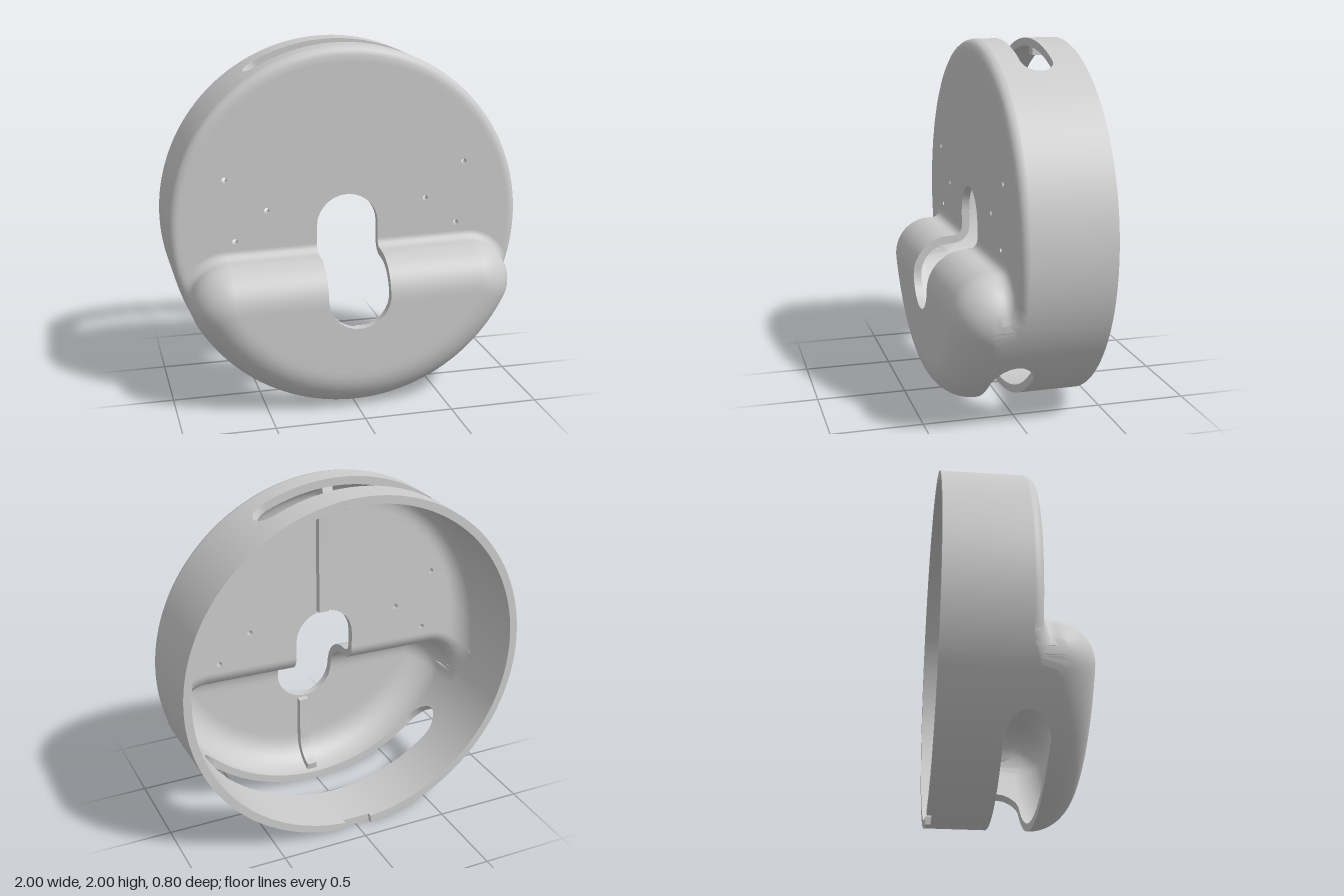
import * as THREE from 'three';
import { toCreasedNormals } from 'three/addons/utils/BufferGeometryUtils.js';

const clamp = THREE.MathUtils.clamp;
const material = new THREE.MeshStandardMaterial({ color: 0xcccccc, side: THREE.DoubleSide });
const BACK = -0.4, CORE = 0.78;

// Outer and inner skins of the shell: radius, bulge rounding, plate height, rim rounding, cove
const outer = { rad: 1, R: 0.22, plate: 0.11, rim: 0.05, cove: 0.05 };
const inner = { rad: 0.955, R: 0.175, plate: 0.065, rim: 0.12, cove: 0.095 };

// Upright round-ended openings in the front: central opening and screw holes
const holes = [
  { x: -0.004, y0: 0.665, y1: 1.005, r: 0.175, n: 14 },
  ...[[-0.69, 1.3], [-0.46, 1.115], [-0.64, 0.95], [0.45, 1.13], [0.675, 1.33], [0.635, 0.975]]
    .map(([x, y]) => ({ x, y0: y, y1: y, r: 0.015, n: 6 })),
];
// Long slots in the round wall
const topSlot = { c: -0.0225, half: 0.5125, z: -0.148, hw: 0.0875 };
const bottomSlot = { c: 0.01, half: 0.77, z: 0.058, hw: 0.117 };

// Flat core of the bulge is a disc cut off by a slightly tilted chord
const chordX = (x) => clamp(x, -0.684, 0.699);
const chordY = (x) => 0.64 + 0.02 * x;
function coreDistance(x, y) {
  const r = Math.hypot(x, y - 1);
  if (r <= CORE && y <= chordY(x)) return 0;
  const k = CORE / Math.max(r, 1e-9), qx = x * k, qy = 1 + (y - 1) * k;
  if (r > CORE && qy <= chordY(qx)) return r - CORE;
  const cx = chordX(x);
  return Math.hypot(x - cx, y - chordY(cx));
}

// Front height of a skin: plate with rounded rim, bulge with rounded edge and a cove at its foot
function height(s, x, y) {
  const r = Math.hypot(x, y - 1), over = Math.max(0, r - (s.rad - s.rim));
  const z = s.plate - s.rim + Math.sqrt(Math.max(0, s.rim ** 2 - over ** 2));
  const e = coreDistance(x, y);
  if (e <= s.R + 1e-6) return Math.max(z, 0.18 + Math.sqrt(Math.max(0, s.R ** 2 - e ** 2)));
  const g = s.cove - (e - s.R);
  return g > 0 ? z + s.cove - Math.sqrt(Math.max(0, s.cove ** 2 - g * g)) : z;
}

// Half height of a round-ended opening at x, or -1 outside it
function roundEnd(d, straight, r) {
  const over = Math.abs(d) - straight;
  if (over > r + 1e-6) return -1;
  return over <= 0 ? r : Math.sqrt(Math.max(0, r * r - over * over));
}

// Column angles, with extra columns on the edges of every opening
function columnAngles() {
  const list = [];
  for (let i = 0; i <= 110; i++) list.push(-Math.PI / 2 + Math.PI * i / 110);
  for (const s of [outer, inner]) {
    for (const h of holes) {
      for (let j = 0; j <= h.n; j++) list.push(Math.asin((h.x + h.r * Math.cos(Math.PI * j / h.n)) / s.rad));
    }
    list.push(Math.asin((0.699 + s.R) / s.rad), Math.asin((-0.684 - s.R) / s.rad));
  }
  for (const t of [topSlot, bottomSlot]) {
    for (const side of [-1, 1]) for (let j = 0; j <= 5; j++) {
      list.push(Math.asin(t.c + side * (t.half - t.hw + t.hw * Math.cos(Math.PI * j / 10))));
    }
  }
  list.push(Math.asin(-0.085), Math.asin(-0.084), Math.asin(0.084), Math.asin(0.085));
  list.sort((a, b) => a - b);
  return list.filter((a, i) => i === 0 || a - list[i - 1] > 1e-6);
}

// Collects quads and turns them into one mesh with creased smooth normals
class Skin {
  constructor() { this.p = []; }
  tri(a, b, c) {
    const u = new THREE.Vector3(...b).sub(new THREE.Vector3(...a));
    const v = new THREE.Vector3(...c).sub(new THREE.Vector3(...a));
    if (u.cross(v).length() > 1e-10) this.p.push(...a, ...b, ...c);
  }
  quad(a, b, c, d, flip) {
    if (flip) [b, d] = [d, b];
    this.tri(a, b, c);
    this.tri(a, c, d);
  }
  mesh(name) {
    const g = new THREE.BufferGeometry();
    g.setAttribute('position', new THREE.Float32BufferAttribute(this.p, 3));
    g.scale(1000, 1000, 1000);
    const out = toCreasedNormals(g, 0.6);
    out.scale(0.001, 0.001, 0.001);
    const m = new THREE.Mesh(out, material);
    m.name = name;
    return m;
  }
}

// Row heights of one column, dense at the edge of the disc and of the bulge
function rows(s, x) {
  const h = Math.sqrt(Math.max(0, s.rad ** 2 - x * x)), yb = 1 - h, yt = 1 + h;
  const cx = chordX(x), rise = (R) => Math.sqrt(Math.max(0, R * R - (x - cx) ** 2));
  const top = clamp(chordY(cx) + rise(s.R), yb, yt);
  const foot = clamp(chordY(cx) + rise(s.R + s.cove), yb, yt);
  const start = Math.min(top + 1e-4, foot), ys = [];
  const ease = (a, b, n) => {
    for (let j = 0; j <= n; j++) ys.push(a + (b - a) * (1 - Math.cos(Math.PI * j / n)) / 2);
  };
  ease(yb, top, 34);
  ease(start, foot, 6);
  ease(foot, yt, 22);
  return ys;
}

function frontSkin(s, angles, name, flip) {
  const skin = new Skin();
  const cols = angles.map((a) => { const x = s.rad * Math.sin(a); return { x, ys: rows(s, x) }; });
  for (let i = 0; i + 1 < cols.length; i++) {
    const A = cols[i], B = cols[i + 1];
    // Split the strip around any opening that covers it
    let pieces = [[[-1, 3], [-1, 3]]];
    for (const h of holes) {
      const a = roundEnd(A.x - h.x, 0, h.r), b = roundEnd(B.x - h.x, 0, h.r);
      if (a < 0 || b < 0) continue;
      pieces = [[[-1, h.y0 - a], [-1, h.y0 - b]], [[h.y1 + a, 3], [h.y1 + b, 3]]];
    }
    for (const [ra, rb] of pieces) {
      const at = (c, r, j) => { const y = clamp(c.ys[j], r[0], r[1]); return [c.x, y, height(s, c.x, y)]; };
      for (let j = 0; j + 1 < A.ys.length; j++) {
        skin.quad(at(A, ra, j), at(B, rb, j), at(B, rb, j + 1), at(A, ra, j + 1), flip);
      }
    }
  }
  return skin.mesh(name);
}

// Round wall with both skins, slot edges, rear rim and the small notch at the bottom
function roundWall(angles) {
  const skin = new Skin();
  for (const up of [1, -1]) {
    const slot = up > 0 ? topSlot : bottomSlot, bottom = up < 0;
    const col = (s, a) => {
      const x = s.rad * Math.sin(a), y = 1 + up * s.rad * Math.cos(a), edge = height(s, x, y);
      const hw = Math.max(0, roundEnd(Math.sin(a) - slot.c, slot.half - slot.hw, slot.hw));
      const back = bottom && Math.abs(Math.sin(a)) < 0.0845 ? BACK + 0.03 : BACK;
      return [back, Math.min(slot.z - hw, edge), Math.min(slot.z + hw, edge), edge].map((z) => [x, y, z]);
    };
    for (let i = 0; i + 1 < angles.length; i++) {
      const [o0, o1] = [col(outer, angles[i]), col(outer, angles[i + 1])];
      const [n0, n1] = [col(inner, angles[i]), col(inner, angles[i + 1])];
      for (const k of [0, 2]) {
        skin.quad(o0[k + 1], o1[k + 1], o1[k], o0[k], bottom);
        skin.quad(n0[k + 1], n1[k + 1], n1[k], n0[k], !bottom);
      }
      skin.quad(o0[0], o1[0], n1[0], n0[0], bottom);
      if (o0[2][2] - o0[1][2] + o1[2][2] - o1[1][2] > 1e-4) {
        skin.quad(o0[1], o1[1], n1[1], n0[1], !bottom);
        skin.quad(o0[2], o1[2], n1[2], n0[2], bottom);
      }
    }
  }
  return skin.mesh('roundWall');
}

// Thickness of the front seen inside each opening
function openingEdges() {
  const skin = new Skin();
  for (const h of holes) {
    const pts = [], n = h.n * 2;
    const arc = (cy, from) => {
      for (let j = 0; j <= n; j++) {
        const a = from + Math.PI * j / n;
        pts.push([h.x + h.r * Math.cos(a), cy + h.r * Math.sin(a)]);
      }
    };
    const side = (x, a, b) => { for (let j = 1; j < 60; j++) pts.push([x, a + (b - a) * j / 60]); };
    arc(h.y1, 0);
    if (h.y1 > h.y0) side(h.x - h.r, h.y1, h.y0);
    arc(h.y0, Math.PI);
    if (h.y1 > h.y0) side(h.x + h.r, h.y0, h.y1);
    pts.forEach(([x, y], i) => {
      const [u, v] = pts[(i + 1) % pts.length];
      skin.quad([x, y, height(outer, x, y)], [x, y, height(inner, x, y)],
        [u, v, height(inner, u, v)], [u, v, height(outer, u, v)]);
    });
  }
  return skin.mesh('openingEdges');
}

// Narrow rib on the inside, straight and then bending along the rounded corner
function rib(name, y0, cy, cz, R, depth, sweep, dir) {
  const shape = new THREE.Shape(), line = [[cz + R + 0.01, y0]];
  for (let j = 0; j <= 10; j++) {
    const a = sweep * j / 10;
    line.push([cz + (R + 0.01) * Math.cos(a), cy + dir * (R + 0.01) * Math.sin(a)]);
  }
  for (let j = 10; j >= 0; j--) {
    const a = sweep * j / 10;
    line.push([cz + (R - depth) * Math.cos(a), cy + dir * (R - depth) * Math.sin(a)]);
  }
  line.push([cz + R - depth, y0]);
  line.forEach(([z, y], i) => (i ? shape.lineTo(-z, y) : shape.moveTo(-z, y)));
  const g = new THREE.ExtrudeGeometry(shape, { depth: 0.06, bevelEnabled: false });
  g.rotateY(Math.PI / 2).translate(-0.015, 0, 0);
  const m = new THREE.Mesh(toCreasedNormals(g, 0.5), material);
  m.name = name;
  return m;
}

export function createModel() {
  const group = new THREE.Group();
  group.name = 'roundHousing';
  const angles = columnAngles();
  group.add(frontSkin(outer, angles, 'frontShell', false));
  group.add(frontSkin(inner, angles, 'frontShellInside', true));
  group.add(roundWall(angles), openingEdges());
  group.add(rib('upperRib', 1.19, 1.835, -0.055, 0.12, 0.04, 1.2, 1));
  group.add(rib('lowerRib', 0.48, 0.22, 0.18, 0.175, 0.04, 1.4, -1));
  // Small catch under the top of the wall
  const clip = new THREE.Mesh(new THREE.BoxGeometry(0.06, 0.05, 0.07), material);
  clip.name = 'topCatch';
  clip.position.set(0.015, 1.935, -0.275);
  group.add(clip);
  return group;
}
